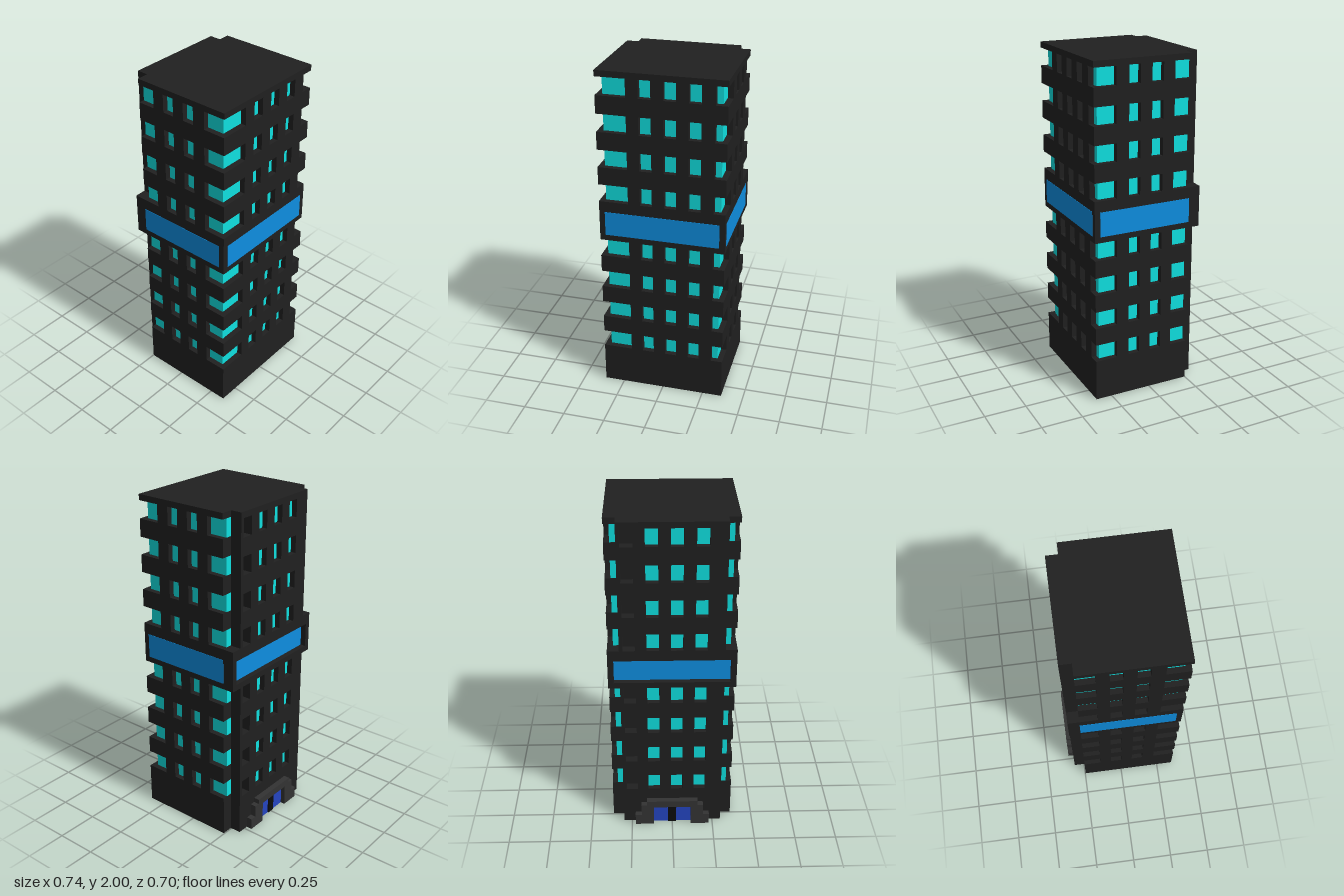
import * as THREE from 'three';

const material = (color) => new THREE.MeshStandardMaterial({ color, flatShading: true });

export function createModel() {
  const model = new THREE.Group();
  const wall = material(0x202020);
  const glass = material(0x0fe0e0);
  const panel = material(0x0e8ee0);
  const stone = material(0x333333);
  const doorBlue = material(0x2444c0);
  const black = material(0x0c0c0c);

  // Box given by its limits on each axis
  function box(name, mat, [x0, x1], [y0, y1], [z0, z1]) {
    const mesh = new THREE.Mesh(new THREE.BoxGeometry(x1 - x0, y1 - y0, z1 - z0), mat);
    mesh.position.set((x0 + x1) / 2, (y0 + y1) / 2, (z0 + z1) / 2);
    mesh.name = name;
    model.add(mesh);
  }

  const W = 0.368, F = 0.35, B = -0.315; // half width, front, back
  const NX = 0.3, NZ = -0.247;           // notched back corners
  const GX = 0.335, GF = 0.317, GB = -0.282; // glass planes

  // Floor plan with both back corners cut out, raised from y0 to y1
  function slab(name, y0, y1, hole) {
    const plan = new THREE.Shape([
      [-W, -F], [W, -F], [W, -NZ], [NX, -NZ], [NX, -B], [-NX, -B], [-NX, -NZ], [-W, -NZ],
    ].map(([x, y]) => new THREE.Vector2(x, y)));
    if (hole) plan.holes.push(hole);
    const geo = new THREE.ExtrudeGeometry(plan, { depth: y1 - y0, bevelEnabled: false });
    const mesh = new THREE.Mesh(geo.rotateX(-Math.PI / 2), wall);
    mesh.position.y = y0;
    mesh.name = name;
    model.add(mesh);
  }

  // Base, hollow underneath
  const t = 0.04;
  const hollow = new THREE.Path([
    [-W + t, -F + t], [-W + t, -NZ - t], [W - t, -NZ - t], [W - t, -F + t],
  ].map(([x, y]) => new THREE.Vector2(x, y)));
  slab('baseRim', 0.002, 0.1, hollow);
  slab('base', 0.1, 0.25);

  // Glazed core behind the piers
  box('glassCore', glass, [-GX, GX], [0.2, 1.985], [-0.245, GF]);
  box('backCoreWall', wall, [-0.298, 0.298], [0.2, 1.985], [-0.262, -0.24]);

  // Window storeys: four below the blue band, four above
  const frontPiers = [[-0.195, -0.125], [-0.055, 0.015], [0.085, 0.155], [0.225, 0.3]];
  const sidePiers = [[0.14, 0.215], [0, 0.07], [-0.14, -0.07]];
  const backPiers = [[-0.3, -0.2], [-0.13, -0.062], [0.008, 0.075], [0.145, 0.21], [0.28, 0.3]];
  const pitch = 0.21, tall = 0.105;
  for (const start of [0.25, 1.23]) {
    for (let i = 0; i < 4; i++) {
      const y0 = start + i * pitch, y1 = y0 + tall;
      const span = [y0, y1];
      for (const x of frontPiers) box('frontPier', wall, x, span, [GF - 0.01, F]);
      for (const z of sidePiers) {
        box('leftPier', wall, [GX - 0.01, W], span, z);
        box('rightPier', wall, [-W, -GX + 0.01], span, z);
      }
      for (const x of backPiers) box('backPier', wall, x, span, [B, NZ]);
      box('backGlass', glass, [-0.21, 0.15], span, [GB, -0.255]);
      const top = i < 3 ? y0 + pitch : start < 1 ? 0.985 : 2;
      if (top > y1 + 0.001) slab(top === 2 ? 'roof' : 'floorBand', y1, top);
    }
  }

  // Wide band with blue panels on all four sides
  const bandY = [0.985, 1.23], panelY = [1.02, 1.165], p = 0.002;
  box('band', wall, [-W, W], bandY, [GB + 0.004, F]);
  box('bandBackLower', wall, [-W, W], [bandY[0], panelY[0]], [B, GB + 0.004]);
  box('bandBackUpper', wall, [-W, W], [panelY[1], bandY[1]], [B, GB + 0.004]);
  box('bandBackLeft', wall, [GX, W], panelY, [B, GB + 0.004]);
  box('bandBackRight', wall, [-W, -GX], panelY, [B, GB + 0.004]);
  box('frontPanel', panel, [-GX, GX], panelY, [F - 0.01, F + p]);
  box('leftPanel', panel, [W - 0.01, W + p], panelY, [NZ, GF]);
  box('rightPanel', panel, [-W - p, -W + 0.01], panelY, [NZ, GF]);
  box('backPanel', panel, [-GX, GX], panelY, [GB, GB + 0.01]);

  // Back entrance: stepped surround, two doors and a centre post
  const D = -0.35;
  for (const s of [-1, 1]) {
    const side = (a, b) => (s > 0 ? [a, b] : [-b, -a]);
    box('entranceOuterStep', stone, side(0.19, 0.228), [0, 0.07], [D, B]);
    box('entranceMiddleStep', stone, side(0.157, 0.19), [0, 0.145], [D, B]);
    box('entranceJamb', stone, side(0.115, 0.157), [0, 0.175], [D, B]);
    box('door', doorBlue, side(0.025, 0.115), [0, 0.13], [-0.322, -0.25]);
  }
  box('entranceLintel', stone, [-0.115, 0.115], [0.13, 0.175], [D, B]);
  box('doorPost', black, [-0.025, 0.025], [0, 0.13], [-0.328, -0.25]);

  return model;
}
